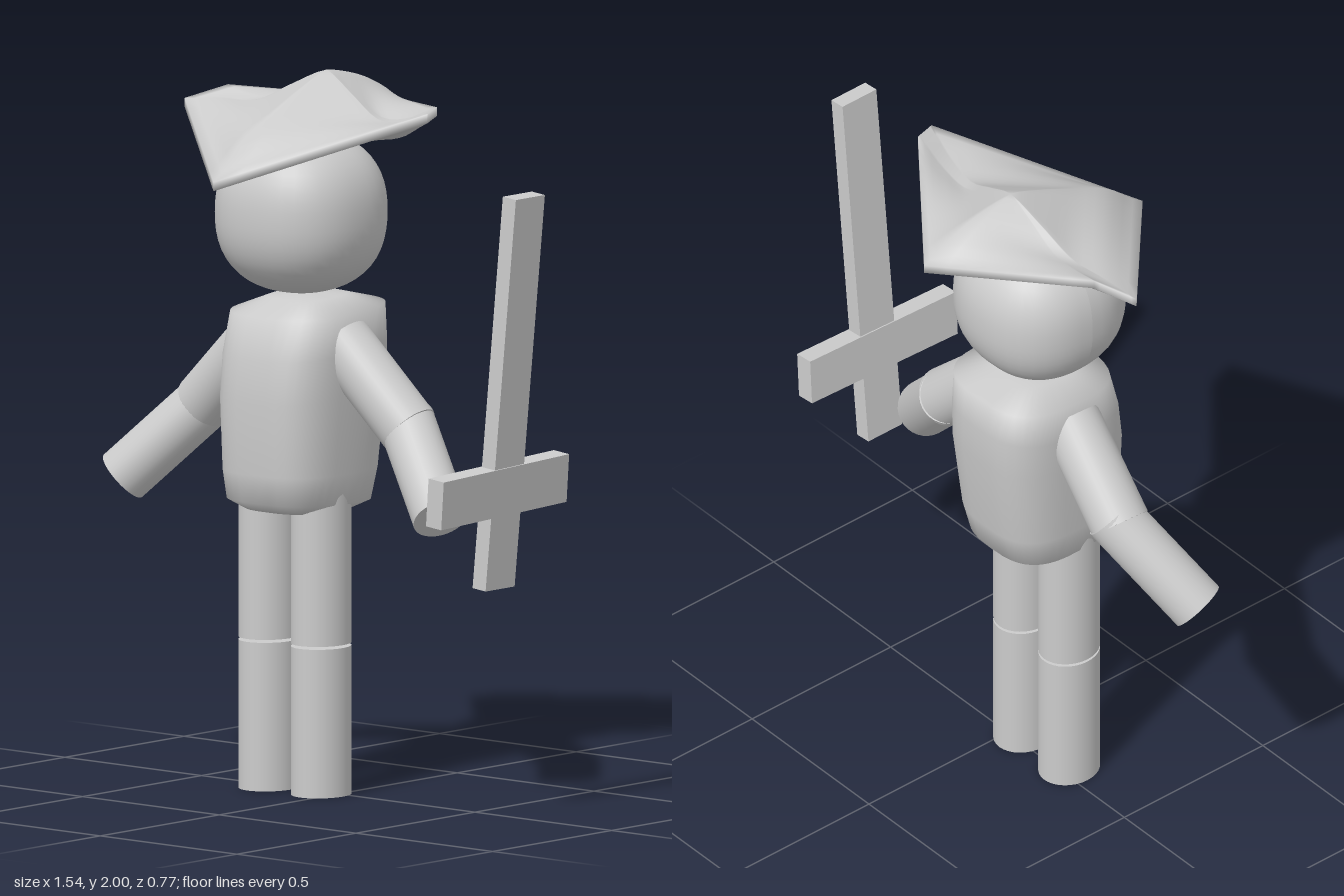
import * as THREE from 'three';
import { mergeVertices } from 'three/addons/utils/BufferGeometryUtils.js';

const CX = -0.132; // the figure stands beside the sword, left of the origin
const material = new THREE.MeshStandardMaterial({ color: 0xcccccc, side: THREE.DoubleSide });

function part(name, geometry, parent) {
  const mesh = new THREE.Mesh(geometry, material);
  mesh.name = name;
  parent.add(mesh);
  return mesh;
}

// Smooth skin over closed rings of points, listed from bottom to top
function loft(rings) {
  const n = rings[0].length, index = [];
  for (let j = 0; j < rings.length - 1; j++) {
    for (let i = 0; i < n; i++) {
      const a = j * n + i, c = j * n + (i + 1) % n;
      index.push(a, a + n, c, a + n, c + n, c);
    }
  }
  const geometry = new THREE.BufferGeometry();
  geometry.setAttribute('position', new THREE.Float32BufferAttribute(rings.flat(2), 3));
  geometry.setIndex(index);
  const merged = mergeVertices(geometry, 1e-4);
  merged.computeVertexNormals();
  return merged;
}

// Round limb between two points
function limb(name, from, to, radius, parent) {
  const a = new THREE.Vector3(...from), b = new THREE.Vector3(...to);
  const mesh = part(name, new THREE.CylinderGeometry(radius, radius, a.distanceTo(b), 32), parent);
  mesh.position.copy(a).add(b).multiplyScalar(0.5);
  mesh.quaternion.setFromUnitVectors(new THREE.Vector3(0, 1, 0), b.sub(a).normalize());
  return mesh;
}

// Superellipse power that keeps the sign
const spow = (v, e) => Math.sign(v) * Math.abs(v) ** e;

function torsoGeometry() {
  // front height, back height, half width, front z, back z
  const sections = [
    [0.80, 0.80, 0.00, 0.02, 0.02],
    [0.79, 0.79, 0.13, 0.15, -0.12],
    [0.82, 0.81, 0.172, 0.20, -0.172],
    [0.90, 0.90, 0.182, 0.212, -0.195],
    [1.10, 1.15, 0.19, 0.22, -0.228],
    [1.22, 1.26, 0.192, 0.205, -0.228],
    [1.335, 1.36, 0.187, 0.175, -0.222],
    [1.375, 1.385, 0.10, 0.08, -0.12],
    [1.39, 1.39, 0.00, -0.02, -0.02]
  ];
  return loft(sections.map(([yf, yb, hx, zf, zb]) => {
    const ring = [];
    for (let i = 0; i < 40; i++) {
      const a = i / 40 * Math.PI * 2;
      const s = spow(Math.sin(a), 0.68);
      ring.push([
        CX + hx * spow(Math.cos(a), 0.68),
        (yf + yb) / 2 + s * (yf - yb) / 2,
        (zf + zb) / 2 + s * (zf - zb) / 2
      ]);
    }
    return ring;
  }));
}

// Sphere swelled slightly towards a cube
function headGeometry() {
  const geometry = new THREE.SphereGeometry(1, 40, 28);
  const p = geometry.attributes.position;
  for (let i = 0; i < p.count; i++) {
    const v = new THREE.Vector3().fromBufferAttribute(p, i);
    const k = 2.35;
    v.divideScalar((Math.abs(v.x) ** k + Math.abs(v.y) ** k + Math.abs(v.z) ** k) ** (1 / k));
    p.setXYZ(i, v.x, v.y, v.z);
  }
  geometry.scale(0.228, 0.225, 0.226);
  geometry.computeVertexNormals();
  return geometry;
}

// Four-cornered hat: height profiles run from the crown to each corner
function hatGeometry() {
  const peak = [-0.12, -0.09];
  // corner x, corner z, heights from the crown outwards
  const corners = [
    [0.325, 0.00, [2.0, 1.945, 1.89, 1.895, 1.93]],
    [-0.123, 0.383, [2.0, 1.955, 1.90, 1.84, 1.74]],
    [-0.588, -0.03, [2.0, 1.95, 1.895, 1.89, 1.88]],
    [-0.49, -0.10, [2.0, 1.955, 1.905, 1.905, 1.92]],
    [-0.10, -0.385, [2.0, 1.987, 1.965, 1.93, 1.885]],
    [0.30, -0.07, [2.0, 1.945, 1.89, 1.90, 1.94]]
  ];
  const curves = corners.map(c => new THREE.SplineCurve(c[2].map((h, i) => new THREE.Vector2(i / 4, h))));
  const steps = 8, rows = 14;
  const ring = (t, drop) => {
    const points = [];
    corners.forEach((c, k) => {
      const m = (k + 1) % corners.length, d = corners[m];
      for (let s = 0; s < steps; s++) {
        const f = s / steps, mix = THREE.MathUtils.lerp;
        points.push([
          mix(peak[0], mix(c[0], d[0], f), t),
          mix(curves[k].getPoint(t).y, curves[m].getPoint(t).y, f) - drop,
          mix(peak[1], mix(c[1], d[1], f), t)
        ]);
      }
    });
    return points;
  };
  const rings = [];
  for (let j = 0; j <= rows; j++) rings.push(ring(j / rows, 0.055 - 0.03 * (j / rows) ** 3));
  for (let j = rows; j >= 0; j--) rings.push(ring(j / rows, 0));
  return loft(rings);
}

export function createModel() {
  const model = new THREE.Group();
  model.name = 'swordsman';

  part('torso', torsoGeometry(), model);
  part('head', headGeometry(), model).position.set(CX, 1.615, 0.004);
  part('hat', hatGeometry(), model);

  // Arms and legs, mirrored about the body
  for (const [side, s] of [['left', 1], ['right', -1]]) {
    const x = d => CX + s * d;
    limb(side + 'UpperArm', [x(0.14), 1.265, -0.005], [x(0.375), 1.04, -0.02], 0.084, model);
    limb(side + 'Forearm', [x(0.35), 1.065, -0.033], [x(0.582), 0.825, 0.085], 0.079, model);
    for (const [name, low, high] of [['Shin', 0, 0.415], ['Thigh', 0.423, 0.86]]) {
      const leg = limb(side + name, [x(0.096), low, 0.03], [x(0.096), high, 0.03], 0.079, model);
      leg.scale.z = 0.09 / 0.079;
    }
  }

  // Leaning sword with a crossguard
  const sword = new THREE.Group();
  sword.name = 'sword';
  sword.position.set(0.657, 0.925, 0.07);
  sword.rotation.z = -0.1;
  model.add(sword);
  part('blade', new THREE.BoxGeometry(0.048, 1.11, 0.122), sword).position.y = 0.278;
  const guard = part('crossguard', new THREE.BoxGeometry(0.056, 0.136, 0.525), sword);
  guard.position.z = 0.015;
  guard.rotation.x = 0.035;

  return model;
}
